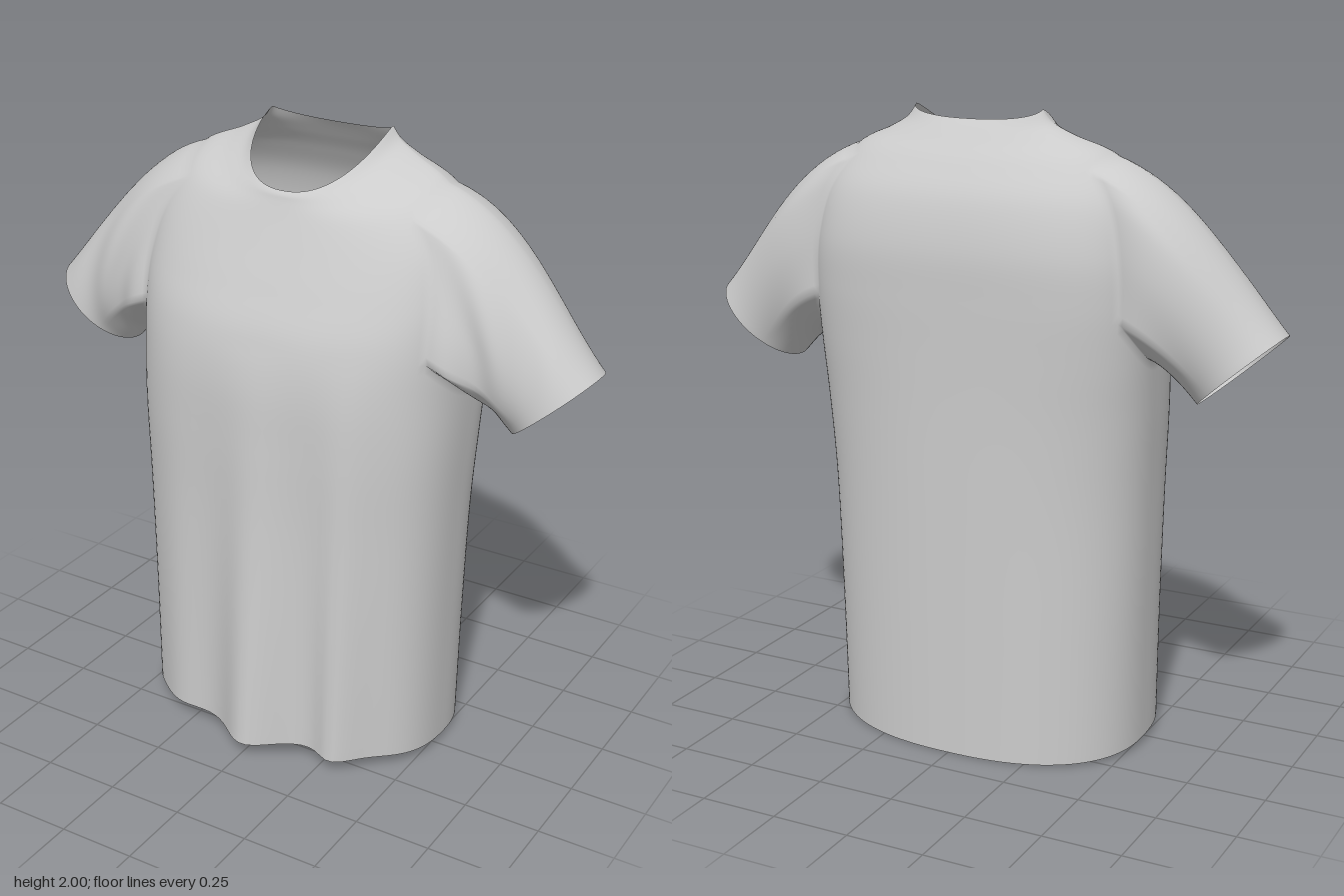
import * as THREE from 'three';

const SEG = 128;      // points round the torso
const SUB = 6;        // rows between two control sections
const HALF = 12;      // half the armhole width, in points
const LOW = 4 * SUB;  // armhole bottom row
const HIGH = 8 * SUB; // armhole top row
const RINGS = 22;     // rows along a sleeve

// Torso sections from hem to collar: half width, side y, side z,
// front y, front z, back y, back z, front squareness, back squareness
const SECTIONS = [
  [0.518, 0.02, -0.04, 0.05, 0.30, 0.00, -0.395, 2.8, 2.4],
  [0.524, 0.40, -0.05, 0.42, 0.30, 0.40, -0.395, 2.8, 2.4],
  [0.535, 0.80, -0.06, 0.81, 0.30, 0.80, -0.395, 2.8, 2.4],
  [0.548, 1.08, -0.08, 1.08, 0.305, 1.08, -0.395, 2.8, 2.5],
  [0.555, 1.27, -0.10, 1.28, 0.305, 1.28, -0.397, 2.7, 2.7],
  [0.560, 1.45, -0.10, 1.43, 0.283, 1.45, -0.400, 2.6, 2.9],
  [0.550, 1.60, -0.10, 1.56, 0.233, 1.60, -0.398, 2.6, 2.9],
  [0.515, 1.755, -0.11, 1.68, 0.182, 1.74, -0.368, 2.5, 2.7],
  [0.430, 1.873, -0.12, 1.765, 0.146, 1.84, -0.315, 2.4, 2.5],
  [0.310, 1.927, -0.15, 1.81, 0.128, 1.905, -0.270, 2.3, 2.4],
  [0.243, 1.962, -0.165, 1.83, 0.121, 1.943, -0.243, 2.3, 2.4],
  [0.212, 2.00, -0.17, 1.842, 0.112, 1.968, -0.224, 2.3, 2.4],
];

// Smooth blend through the control sections
function sectionAt(t) {
  const last = SECTIONS.length - 1;
  const i = Math.min(Math.floor(t), last - 1), f = t - i;
  const [a, b, c, d] = [i - 1, i, i + 1, i + 2].map((k) => SECTIONS[Math.min(Math.max(k, 0), last)]);
  return b.map((v, k) => 0.5 * (2 * v + (c[k] - a[k]) * f
    + (2 * a[k] - 5 * v + 4 * c[k] - d[k]) * f * f
    + (3 * v - a[k] - 3 * c[k] + d[k]) * f * f * f));
}

const bump = (x, centre, width) => Math.exp(-(((x - centre) / width) ** 2));

function torsoPoint(row, j) {
  const angle = (j / SEG) * Math.PI * 2;
  const c = Math.cos(angle), s = Math.sin(angle);
  // Rows rise beside the armpit and dip beside the shoulder, rounding the armhole
  const t = row / SUB;
  const fromSide = Math.min(j % (SEG / 2), SEG / 2 - (j % (SEG / 2))) / HALF;
  const corner = fromSide < 1 ? fromSide ** 2 : bump(fromSide, 1, 0.7);
  const [w, yS, zS, yF, zF, yB, zB, nF, nB] =
    sectionAt(t + corner * (0.75 * bump(t, 4, 1.4) - 0.2 * bump(t, 8, 0.9)));
  const n = s > 0 ? nF : nB;
  const r = (Math.abs(c) ** n + Math.abs(s) ** n) ** (-1 / n);
  const depth = Math.abs(s * r);
  const x = w * c * r;
  const y = yS + ((s > 0 ? yF : yB) - yS) * depth ** 1.2;
  let z = zS + ((s > 0 ? zF : zB) - zS) * depth;
  // Hanging folds at the front, fading out towards the chest
  if (s > 0) {
    const fade = Math.max(0, 1 - y / 1.4) * depth;
    z += fade * (0.104 * bump(x, 0.01, 0.11) + 0.07 * bump(x, 0.31, 0.07) + 0.025 * bump(x, -0.31, 0.09));
  }
  return new THREE.Vector3(x, y, z);
}

export function createModel() {
  const points = [];
  const rows = (SECTIONS.length - 1) * SUB;
  const id = (i, j) => i * SEG + ((j + SEG) % SEG);
  const quad = (list, a, b, c, d, flip) =>
    flip ? list.push(a, c, b, b, c, d) : list.push(a, b, c, b, d, c);

  // Torso, leaving out the armholes
  const torso = [];
  for (let i = 0; i <= rows; i++) {
    for (let j = 0; j < SEG; j++) points.push(torsoPoint(i, j));
  }
  for (let i = 0; i < rows; i++) {
    for (let j = 0; j < SEG; j++) {
      const k = (j + HALF) % (SEG / 2);
      if (i >= LOW && i < HIGH && k < 2 * HALF) continue;
      quad(torso, id(i, j), id(i + 1, j), id(i, j + 1), id(i + 1, j + 1));
    }
  }

  // Sleeve, swept from the armhole edge to the cuff
  function sleeve(side) {
    const at = (i, j) => id(i, side > 0 ? j : SEG / 2 - j);
    const loop = [];
    for (let j = -HALF; j < HALF; j++) loop.push(at(LOW, j));
    for (let i = LOW; i < HIGH; i++) loop.push(at(i, HALF));
    for (let j = HALF; j > -HALF; j--) loop.push(at(HIGH, j));
    for (let i = HIGH; i > LOW; i--) loop.push(at(i, -HALF));

    const grid = [loop];
    for (let r = 1; r <= RINGS; r++) grid.push([]);
    for (const start of loop) {
      const p = points[start].clone();
      p.x *= side;
      const angle = Math.atan2((p.y - 1.57) / 0.3, (p.z + 0.09) / 0.22);
      const up = Math.sin(angle), front = Math.cos(angle);
      const q = new THREE.Vector3(0.829 + 0.128 * up, 1.268 + 0.112 * up, -0.097 + 0.152 * front);
      const reach = p.distanceTo(q) / 3;
      const path = new THREE.CubicBezierCurve3(
        p,
        p.clone().add(new THREE.Vector3(0.95, -0.3, Math.min(0, front) * 0.25).multiplyScalar(reach)),
        q.clone().add(new THREE.Vector3(-0.67, 0.74, 0).multiplyScalar(reach)),
        q,
      );
      for (let r = 1; r <= RINGS; r++) {
        const u = r / RINGS;
        const v = path.getPoint(u);
        // Soft creases at the front, beside the armpit
        v.z += 0.012 * Math.max(0, front) * Math.sin(Math.PI * u) * Math.sin(u * 9 + up * 4 + 2.5);
        v.x *= side;
        grid[r].push(points.push(v) - 1);
      }
    }
    const list = [];
    for (let r = 0; r < RINGS; r++) {
      for (let m = 0; m < loop.length; m++) {
        const next = (m + 1) % loop.length;
        quad(list, grid[r][m], grid[r + 1][m], grid[r][next], grid[r + 1][next], side < 0);
      }
    }
    return list;
  }
  const parts = { torso, leftSleeve: sleeve(1), rightSleeve: sleeve(-1) };

  // Shared points and normals keep the shading smooth across the seams
  const whole = new THREE.BufferGeometry().setFromPoints(points);
  whole.setIndex(Object.values(parts).flat());
  whole.computeVertexNormals();

  const cloth = new THREE.MeshStandardMaterial({ color: 0xcccccc, side: THREE.DoubleSide });
  const shirt = new THREE.Group();
  shirt.name = 'shirt';
  for (const [name, index] of Object.entries(parts)) {
    const geometry = new THREE.BufferGeometry();
    geometry.setAttribute('position', whole.getAttribute('position'));
    geometry.setAttribute('normal', whole.getAttribute('normal'));
    geometry.setIndex(index);
    const mesh = new THREE.Mesh(geometry, cloth);
    mesh.name = name;
    shirt.add(mesh);
  }
  return shirt;
}
